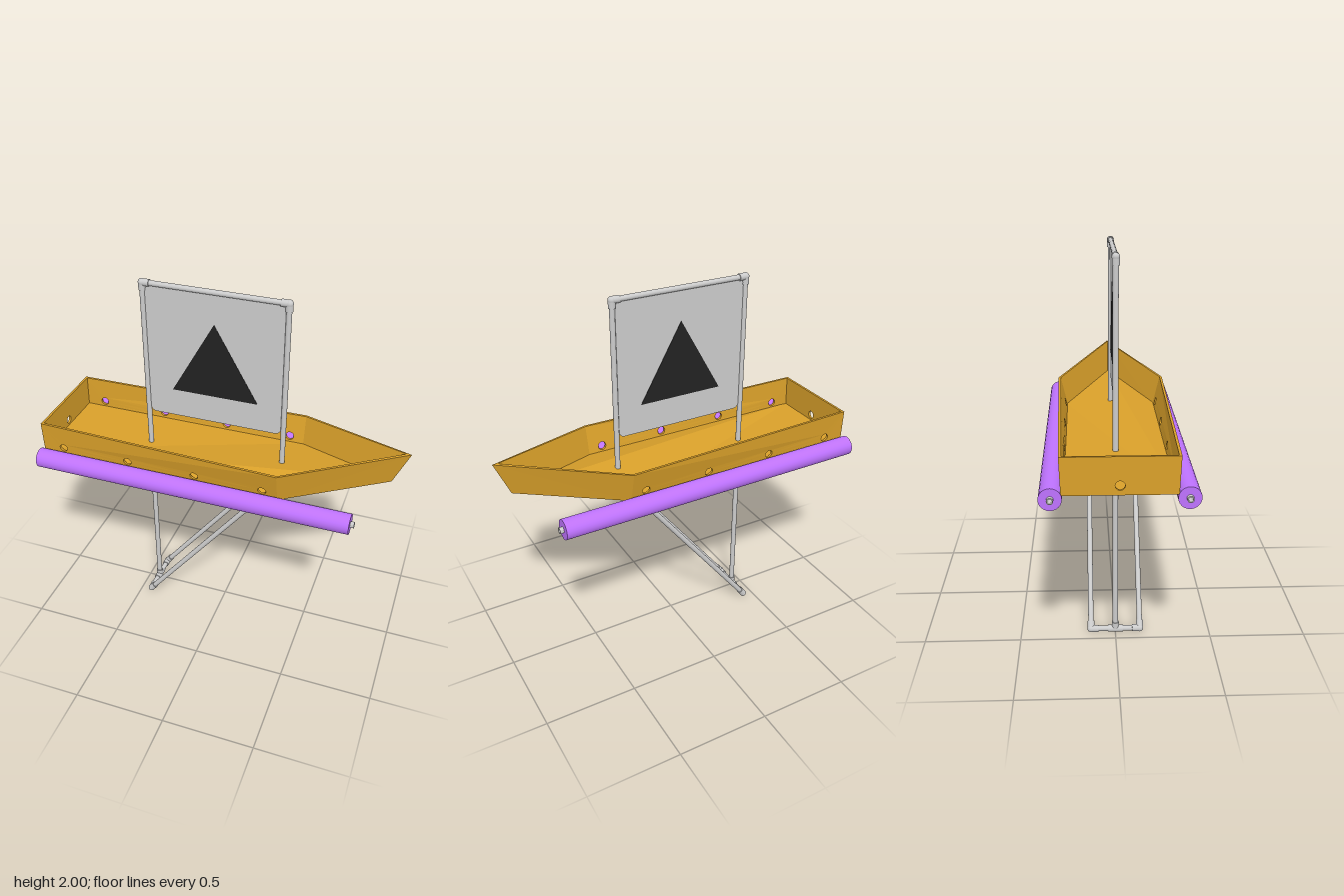
import * as THREE from 'three';
import { toCreasedNormals } from 'three/addons/utils/BufferGeometryUtils.js';

const mat = (color) => new THREE.MeshStandardMaterial({ color });
const V = (x, y, z) => new THREE.Vector3(x, y, z);

export function createModel() {
  const model = new THREE.Group();
  const grey = mat(0xcccccc);
  const wood = mat(0xd9a02a);
  const foam = mat(0xbf73ff);
  const black = mat(0x222222);

  const add = (parent, name, geometry, material) => {
    const mesh = new THREE.Mesh(geometry, material);
    mesh.name = name;
    parent.add(mesh);
    return mesh;
  };
  const group = (name) => {
    const g = new THREE.Group();
    g.name = name;
    model.add(g);
    return g;
  };

  // Moves every vertex by a rule, then rebuilds flat normals
  const warp = (geometry, rule) => {
    const p = geometry.attributes.position;
    const v = V(0, 0, 0);
    for (let i = 0; i < p.count; i++) {
      rule(v.fromBufferAttribute(p, i));
      p.setXYZ(i, v.x, v.y, v.z);
    }
    geometry.computeVertexNormals();
    return geometry;
  };
  const polygon = (pts) => new THREE.Shape(pts.map(([x, y]) => new THREE.Vector2(x, y)));
  const hole = (shape, x, y, r = 0.022) =>
    shape.holes.push(new THREE.Path().absarc(x, y, r, 0, Math.PI * 2, true));
  const extrude = (shape, depth) =>
    new THREE.ExtrudeGeometry(shape, { depth, bevelEnabled: false, curveSegments: 12 });

  // Hull measurements
  const wall = 0.013, stern = -0.96, shoulder = 0.37, bottom = 1.02;
  const hull = group('hull');

  for (const side of [1, -1]) {
    // Extrusion runs from z = 0 (inner face) to z = wall (outer face)
    const panel = (name, geometry, rule) => {
      warp(geometry, (v) => { rule(v); v.z *= side; });
      if (side < 0) {
        // Mirroring turns the triangles over, so swap two corners of each
        const p = geometry.attributes.position;
        for (let i = 0; i < p.count; i += 3) {
          const a = V(0, 0, 0).fromBufferAttribute(p, i);
          p.setXYZ(i, p.getX(i + 1), p.getY(i + 1), p.getZ(i + 1));
          p.setXYZ(i + 1, a.x, a.y, a.z);
        }
        geometry.computeVertexNormals();
      }
      add(hull, name, geometry, wood);
    };

    // Straight side with drain holes, leaning outward toward the shoulder
    const sideShape = polygon([[stern, bottom], [shoulder, bottom], [shoulder, 1.19], [stern, 1.2]]);
    [-0.84, -0.46, -0.08, 0.29].forEach((x) => hole(sideShape, x, 1.065));
    panel('sideWall', extrude(sideShape, wall), (v) => {
      const t = (v.x - stern) / (shoulder - stern);
      const h = (v.y - bottom) / 0.17;
      v.z += 0.26 - wall + h * (0.007 + 0.033 * t);
    });

    // Bow side, closing to the raked stem
    const bowShape = polygon([[shoulder, bottom], [0.9, 1.085], [0.98, 1.27], [shoulder, 1.19]]);
    panel('bowWall', extrude(bowShape, wall), (v) => {
      const outer = v.z > wall / 2;
      if (v.x > 0.6) {
        v.z = 0;
        if (!outer) v.x -= 0.027;
      } else {
        v.z += (v.y > 1.1 ? 0.3 : 0.26) - wall;
      }
    });
  }

  // Floor, rising toward the bow
  const floorShape = polygon([[stern, -0.255], [shoulder, -0.255], [0.895, 0], [shoulder, 0.255], [stern, 0.255]]);
  const floor = extrude(floorShape, 0.013);
  floor.rotateX(-Math.PI / 2);
  warp(floor, (v) => { v.y += bottom + Math.max(0, v.x - shoulder) * 0.123; });
  add(hull, 'floor', floor, wood);

  // Transom with one drain hole
  const transomShape = polygon([[-0.258, bottom], [0.258, bottom], [0.266, 1.2], [-0.266, 1.2]]);
  hole(transomShape, 0, 1.065);
  const transom = add(hull, 'transom', extrude(transomShape, wall), wood);
  transom.rotation.y = Math.PI / 2;
  transom.position.x = stern;

  // Hollow cylinder along x
  const sleeve = (x0, x1, rOut, rIn) => {
    const ring = new THREE.Shape();
    ring.absarc(0, 0, rOut, 0, Math.PI * 2, false);
    hole(ring, 0, 0, rIn);
    const g = extrude(ring, x1 - x0);
    g.rotateY(Math.PI / 2);
    g.translate(x0, 0, 0);
    return toCreasedNormals(g, 0.6);
  };

  // Foam floats: long outer pair on pipes, short inner pair
  const floats = group('floats');
  for (const side of [1, -1]) {
    add(floats, 'longFloat', sleeve(-0.965, 0.76, 0.053, 0.016), foam).position.set(0, 1.005, side * 0.307);
    add(floats, 'floatPipe', sleeve(-0.985, 0.78, 0.016, 0.011), grey).position.set(0, 1.005, side * 0.307);
    add(floats, 'shortFloat', sleeve(-0.355, 0.21, 0.053, 0.016), foam).position.set(0, 0.968, side * 0.205);
  }

  // Pipe frame
  const frame = group('pipeFrame');
  const pipe = (name, a, b, r = 0.014) => {
    const d = b.clone().sub(a);
    const m = add(frame, name, new THREE.CylinderGeometry(r, r, d.length(), 20), grey);
    m.position.copy(a).add(b).multiplyScalar(0.5);
    m.quaternion.setFromUnitVectors(V(0, 1, 0), d.normalize());
  };
  // Fitting: a rounded core with a short collar along each given direction
  const fitting = (p, ...dirs) => {
    add(frame, 'fittingCore', new THREE.SphereGeometry(0.0195, 20, 12), grey).position.copy(p);
    dirs.forEach((d) => pipe('fittingCollar', p, p.clone().addScaledVector(d.normalize(), 0.04), 0.0185));
  };

  const back = -0.435, front = 0.318, top = 1.98, foot = 0.02, deck = 1.003;
  pipe('mastPost', V(back, foot, 0), V(back, top, 0));
  pipe('frontPost', V(front, deck, 0), V(front, top, 0));
  pipe('topBar', V(back, top, 0), V(front, top, 0));
  fitting(V(back, top, 0), V(0, -1, 0), V(1, 0, 0));
  fitting(V(front, top, 0), V(0, -1, 0), V(-1, 0, 0));

  // Cross bars under the hull
  for (const x of [back, front]) {
    pipe('crossBar', V(x, deck, -0.29), V(x, deck, 0.29));
    fitting(V(x, deck, 0), V(0, 0, 1), V(0, 0, -1), V(0, -1, 0));
  }

  // Lower bar and diagonal braces
  pipe('footBar', V(back, foot, -0.13), V(back, foot, 0.13));
  fitting(V(back, foot, 0), V(0, 0, 1), V(0, 0, -1), V(0, 1, 0));
  for (const side of [1, -1]) {
    const low = V(back, foot, side * 0.13), high = V(front, deck, side * 0.13);
    pipe('diagonalBrace', low, high);
    fitting(low, high.clone().sub(low), V(0, 0, -side));
    fitting(high, low.clone().sub(high), V(0, 0, side), V(0, 0, -side));
  }

  // Sign board with rounded corners and a triangle on both faces
  const sign = group('signBoard');
  const [l, r, b, t, c] = [-0.421, 0.304, 1.243, 1.968, 0.03];
  const board = new THREE.Shape();
  board.absarc(l + c, b + c, c, Math.PI, Math.PI * 1.5);
  board.absarc(r - c, b + c, c, Math.PI * 1.5, Math.PI * 2);
  board.absarc(r - c, t - c, c, 0, Math.PI / 2);
  board.absarc(l + c, t - c, c, Math.PI / 2, Math.PI);
  add(sign, 'board', extrude(board, 0.008), grey).position.z = -0.004;
  const triangle = polygon([[-0.29, 1.4], [0.175, 1.4], [-0.058, 1.81]]);
  add(sign, 'triangle', extrude(triangle, 0.012), black).position.z = -0.006;

  return model;
}
